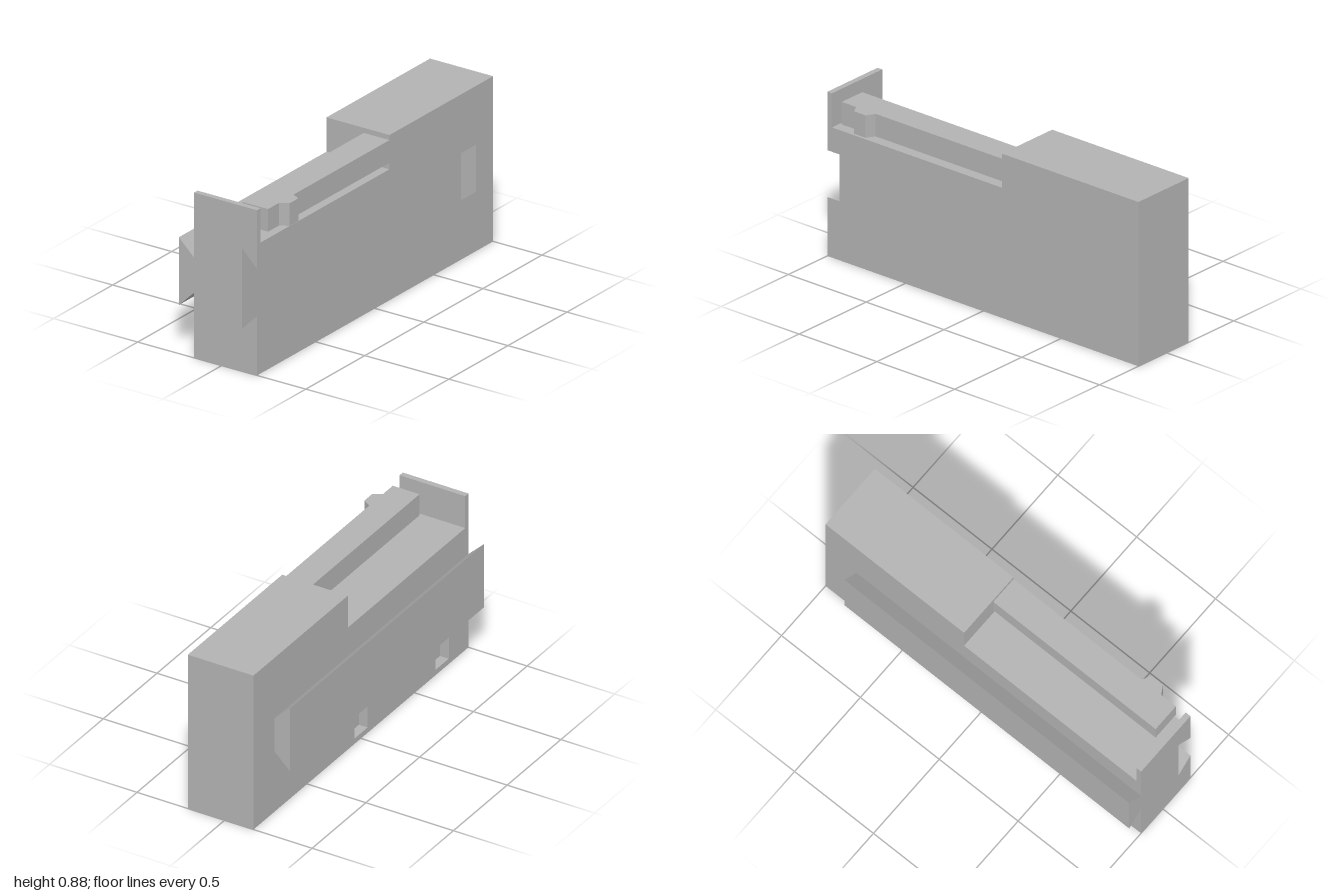
import * as THREE from 'three';

const BACK = -0.165, FRONT = 0.21, SLOT = 0.12, POCKET = -0.115; // depths along z
const DECK = 0.695, TOP = 0.877;

export function createModel() {
  const model = new THREE.Group();
  model.name = 'slidingLatchBlock';
  const grey = new THREE.MeshStandardMaterial({ color: 0xb2b2b2 });
  grey.name = 'grey';

  const add = (name, geometry) => {
    const mesh = new THREE.Mesh(geometry, grey);
    mesh.name = name;
    model.add(mesh);
    return mesh;
  };
  const box = (name, x0, x1, y0, y1, z0, z1) =>
    add(name, new THREE.BoxGeometry(x1 - x0, y1 - y0, z1 - z0))
      .position.set((x0 + x1) / 2, (y0 + y1) / 2, (z0 + z1) / 2);
  const polygon = (points) => new THREE.Shape(points.map(([a, b]) => new THREE.Vector2(a, b)));
  const extrude = (shape, depth) => new THREE.ExtrudeGeometry(shape, { depth, bevelEnabled: false });

  // Prism along x from a [z, y] section
  const prismX = (name, x0, x1, section) => {
    const g = extrude(polygon(section.map(([z, y]) => [-z, y])), x1 - x0);
    add(name, g.rotateY(Math.PI / 2).translate(x0, 0, 0));
  };

  // Back plate with two square pockets
  const plate = polygon([[-1, 0], [1, 0], [1, DECK], [-1, DECK]]);
  for (const x of [0, -0.755]) {
    plate.holes.push(polygon([[x - 0.062, 0.03], [x - 0.062, 0.15], [x + 0.062, 0.15], [x + 0.062, 0.03]]));
  }
  add('backPlate', extrude(plate, POCKET - BACK).translate(0, 0, BACK));

  // Solid core
  box('core', -1, 1, 0, DECK, POCKET, SLOT);

  // Front dovetail slot, open at one end
  prismX('lowerSlotJaw', -1, 0.855, [[SLOT, 0], [FRONT, 0], [FRONT, 0.315], [SLOT, 0.225]]);
  prismX('upperSlotJaw', -1, 0.855, [[SLOT, 0.655], [FRONT, 0.565], [FRONT, DECK], [SLOT, DECK]]);
  box('slotEnd', 0.855, 1, 0, DECK, SLOT, FRONT);

  // Raised block and thin end wall above the deck
  box('raisedBlock', 0.122, 1, DECK, TOP, BACK, FRONT);
  box('endWall', -1, -0.97, DECK, TOP, BACK, FRONT);

  // Dovetail rail on the back
  prismX('dovetailRail', -1, 0.805, [[BACK, 0.345], [BACK, 0.532], [-0.255, 0.618], [-0.255, 0.258]]);

  // Spring arm with its catch, drawn from above as [x, z]
  const arm = [
    [-0.907, 0.057], [0.122, 0.057], [0.122, FRONT], [-0.69, FRONT],
    [-0.715, 0.255], [-0.788, 0.255], [-0.815, FRONT], [-0.907, FRONT],
  ];
  const armGeometry = extrude(polygon(arm.map(([x, z]) => [x, -z])), 0.12);
  add('springArm', armGeometry.rotateX(-Math.PI / 2).translate(0, 0.73, 0));

  return model;
}
